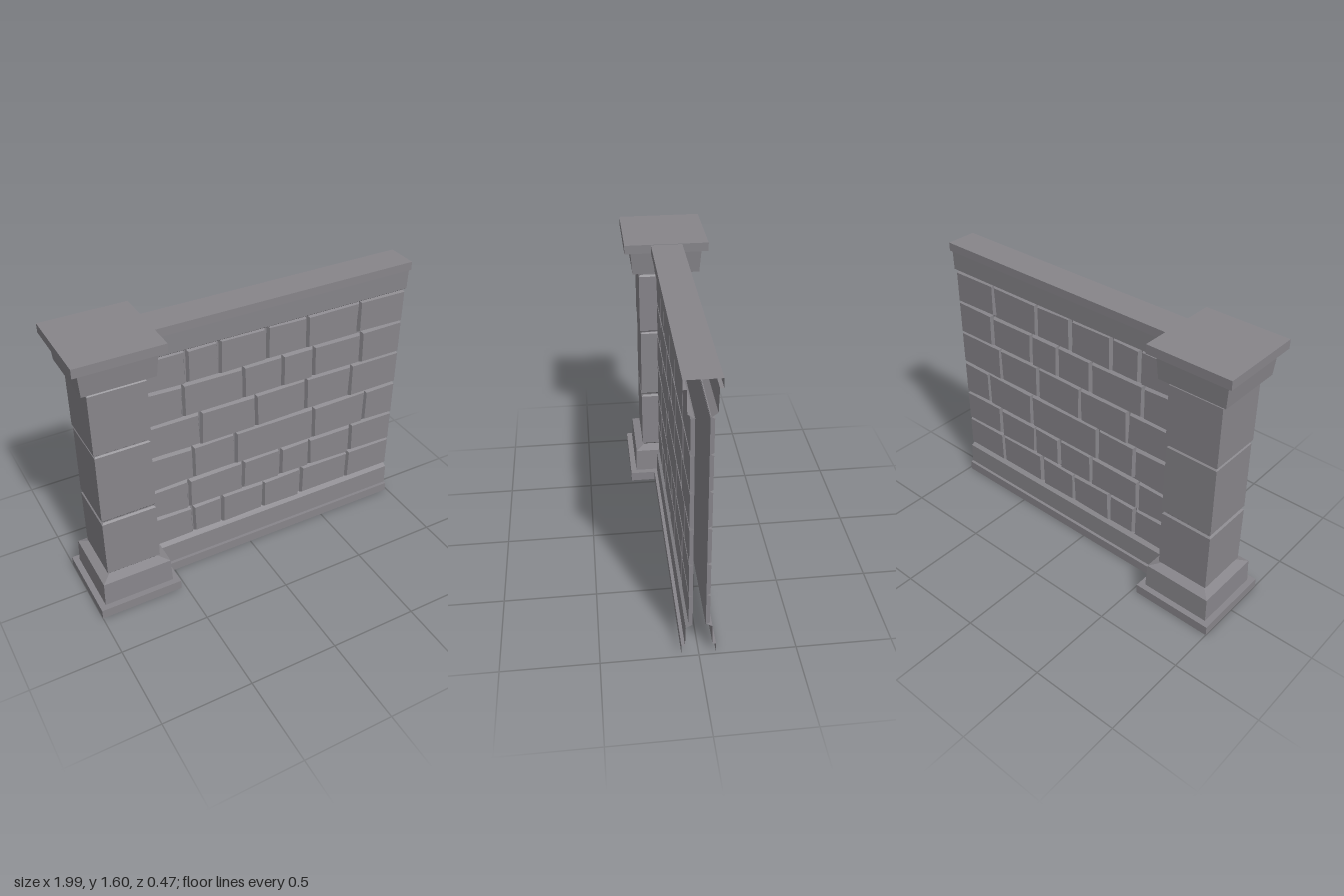
import * as THREE from 'three';

const PILLAR_X = -0.764;
const WALL_START = -0.6, WALL_END = 0.985;

// Small seeded generator for hand-cut irregularity
let seed = 7;
function jitter(amount) {
  seed = (seed * 16807) % 2147483647;
  return (seed / 2147483647 - 0.5) * 2 * amount;
}

function flat(geometry) {
  const g = geometry.index ? geometry.toNonIndexed() : geometry;
  g.computeVertexNormals();
  return g;
}

// Square column swept from a [half width, y] profile, open underneath
function squareColumn(profile) {
  const points = profile.map(([h, y]) => new THREE.Vector2(h * Math.SQRT2, y));
  return flat(new THREE.LatheGeometry(points, 4, Math.PI / 4));
}

// Open-ended strip: a [z, y] profile carried along x
function strip(profile, x0, x1) {
  const pos = [];
  for (let i = 0; i < profile.length - 1; i++) {
    const [za, ya] = profile[i], [zb, yb] = profile[i + 1];
    pos.push(x0, ya, za, x1, ya, za, x1, yb, zb);
    pos.push(x0, ya, za, x1, yb, zb, x0, yb, zb);
  }
  const g = new THREE.BufferGeometry();
  g.setAttribute('position', new THREE.Float32BufferAttribute(pos, 3));
  g.computeVertexNormals();
  return g;
}

// Bevelled block: small irregular outer face, wider inner face
function brickGeometry(x0, x1, y0, y1, isLast) {
  const g = new THREE.BoxGeometry(1, 1, 1);
  const p = g.attributes.position;
  const offsets = [0, 1, 2, 3].map(() => [jitter(0.005), jitter(0.005)]);
  for (let i = 0; i < p.count; i++) {
    const right = p.getX(i) > 0, top = p.getY(i) > 0, outer = p.getZ(i) > 0;
    const [dx, dy] = offsets[(right ? 1 : 0) + (top ? 2 : 0)];
    const insetX = outer ? 0.012 : 0.002;
    const insetY = outer ? 0.011 : 0.001;
    const endX = isLast ? x1 : x1 - insetX + dx;
    p.setXYZ(i,
      right ? endX : x0 + insetX + dx,
      (top ? y1 - insetY : y0 + insetY) + dy,
      outer ? 0.053 : 0.033);
  }
  return flat(g);
}

export function createModel() {
  const model = new THREE.Group();
  model.name = 'stoneWall';
  const stone = new THREE.MeshStandardMaterial({ color: 0x87858a, side: THREE.DoubleSide });
  stone.name = 'grey stone';

  function add(parent, name, geometry) {
    const mesh = new THREE.Mesh(geometry, stone);
    mesh.name = name;
    parent.add(mesh);
    return mesh;
  }

  // Pillar: base, shaft of three blocks, head
  const pillar = new THREE.Group();
  pillar.name = 'pillar';
  pillar.position.x = PILLAR_X;
  model.add(pillar);
  add(pillar, 'pillarBase', squareColumn([
    [0.236, 0], [0.236, 0.057], [0.202, 0.057], [0.197, 0.2], [0.142, 0.218],
  ]));
  add(pillar, 'pillarShaft', squareColumn([
    [0.142, 0.218], [0.153, 0.23], [0.153, 0.575], [0.142, 0.583],
    [0.142, 0.59], [0.153, 0.602], [0.15, 1.008], [0.142, 1.015],
    [0.142, 1.02], [0.154, 1.03], [0.154, 1.375], [0.144, 1.385], [0.144, 1.4],
  ]));
  add(pillar, 'pillarHead', squareColumn([
    [0.144, 1.4], [0.191, 1.41], [0.202, 1.55], [0.236, 1.55], [0.236, 1.6], [0, 1.6],
  ]));

  // Courses from top to bottom: lower edge, upper edge, joints along x
  const courses = [
    [1.215, 1.415, [-0.355, -0.17, 0.11, 0.36, 0.69]],
    [1.015, 1.215, [-0.38, -0.03, 0.21, 0.41, 0.72]],
    [0.805, 1.015, [-0.285, 0.05, 0.37, 0.67]],
    [0.59, 0.805, [-0.34, -0.08, 0.43, 0.78]],
    [0.392, 0.59, [-0.37, -0.03, 0.215, 0.41, 0.7]],
    [0.195, 0.392, [-0.35, -0.165, 0.105, 0.36, 0.69]],
  ];
  const bricks = [];
  for (const [y0, y1, joints] of courses) {
    const xs = [WALL_START, ...joints, WALL_END];
    for (let i = 0; i < xs.length - 1; i++) {
      bricks.push(brickGeometry(xs[i], xs[i + 1], y0, y1, i === xs.length - 2));
    }
  }

  // Two matching faces; the wall is hollow and open at its free end
  const parts = {
    wallPlinth: [[0.088, 0], [0.088, 0.057], [0.07, 0.057], [0.067, 0.18], [0.032, 0.2]],
    mortar: [[0.032, 0.2], [0.032, 1.405]],
    wallCoping: [[0.032, 1.405], [0.067, 1.43], [0.07, 1.55], [0.088, 1.55], [0.088, 1.597], [0, 1.597]],
  };
  for (const side of [1, -1]) {
    const face = new THREE.Group();
    face.name = side > 0 ? 'frontWallFace' : 'backWallFace';
    face.scale.z = side;
    model.add(face);
    for (const [name, profile] of Object.entries(parts)) {
      add(face, name, strip(profile, WALL_START, WALL_END));
    }
    bricks.forEach((geometry) => add(face, 'brick', geometry));
  }
  return model;
}
